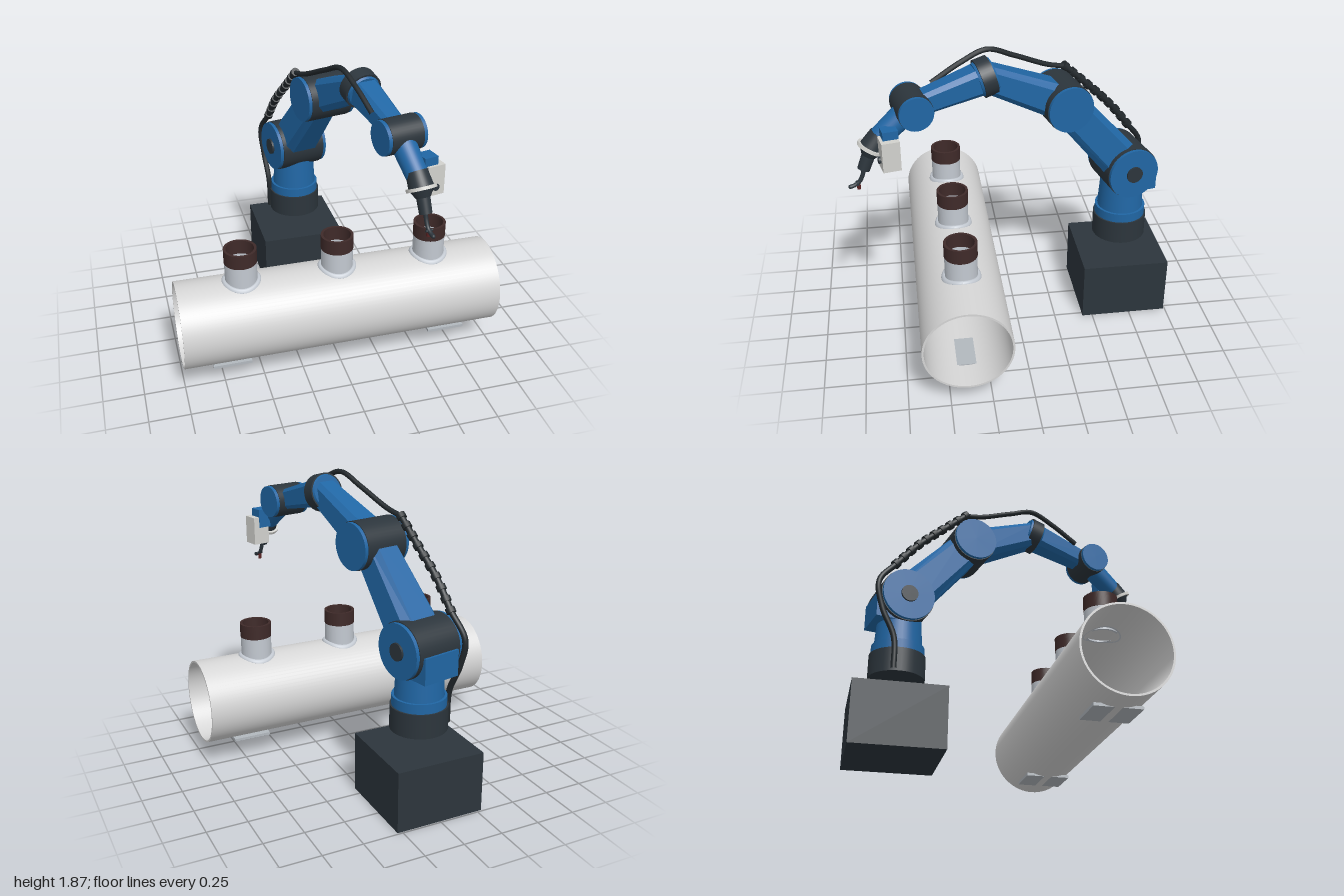
import * as THREE from 'three';

const mat = (name, color, side = THREE.FrontSide) => {
  const m = new THREE.MeshStandardMaterial({ color, side });
  m.name = name;
  return m;
};

export function createModel() {
  const blue = mat('arm blue', 0x2066a4);
  const dark = mat('dark graphite', 0x2c353c);
  const rubber = mat('hose rubber', 0x22282c);
  const pipeGrey = mat('pipe grey', 0xd6d6d6);
  const steel = mat('nozzle steel', 0xc3c9d1);
  const rust = mat('nozzle rim brown', 0x3f2a29);
  const padGrey = mat('pad grey', 0xb2b8be);
  const offWhite = mat('sensor white', 0xd2d2ce);
  const tipRed = mat('tip red', 0x5a2222);

  const model = new THREE.Group();
  const add = (parent, name, geo, material, x = 0, y = 0, z = 0) => {
    const m = new THREE.Mesh(geo, material);
    m.name = name;
    m.position.set(x, y, z);
    parent.add(m);
    return m;
  };
  const v = (x, y, z) => new THREE.Vector3(x, y, z);
  const cyl = (r0, r1, h, n = 40) => new THREE.CylinderGeometry(r1, r0, h, n);
  // Hollow tube around y with sharp edges
  const ring = (ro, ri, y0, y1, n = 48) => {
    const p = [[ri, y0], [ro, y0], [ro, y0], [ro, y1], [ro, y1], [ri, y1], [ri, y1], [ri, y0]];
    const shape = new THREE.Shape().absarc(0, 0, ro, 0, Math.PI * 2);
    shape.holes.push(new THREE.Path().absarc(0, 0, ri, 0, Math.PI * 2, true));
    return new THREE.ExtrudeGeometry(shape, { depth: p[3][1] - y0, bevelEnabled: false, curveSegments: n })
      .rotateX(-Math.PI / 2).translate(0, y0, 0);
  };
  const tube = (pts, r, n = 40) => new THREE.TubeGeometry(
    new THREE.CatmullRomCurve3(pts.map(p => v(...p))), n, r, 10);

  // Pedestal
  add(model, 'pedestal', new THREE.BoxGeometry(0.56, 0.38, 0.555), dark, 0, 0.19, -0.712);

  // Header pipe along x
  const PY = 0.395, PZ = 0.39, PR = 0.268;
  const profile = [[PR - 0.012, -1], [PR, -1], [PR, 1], [PR - 0.012, 1]];
  profile.push(profile[0]);
  for (let i = 0; i < 4; i++) {
    const pair = [profile[i], profile[i + 1]].map(p => new THREE.Vector2(...p));
    add(model, 'pipeSurface', new THREE.LatheGeometry(pair, 72).rotateZ(-Math.PI / 2), pipeGrey, 0, PY, PZ);
  }

  // Branch nozzles with saddle welds
  for (const x of [-0.6, 0, 0.6]) {
    const nozzle = new THREE.Group();
    nozzle.name = 'nozzle';
    nozzle.position.set(x, 0, PZ);
    model.add(nozzle);
    add(nozzle, 'nozzleNeck', ring(0.098, 0.084, 0.64, 0.79), steel);
    add(nozzle, 'nozzleRim', ring(0.1, 0.084, 0.79, 0.88), rust);
    const weld = new THREE.TorusGeometry(0.106, 0.014, 10, 48).rotateX(Math.PI / 2);
    const p = weld.attributes.position;
    for (let i = 0; i < p.count; i++) {
      p.setY(i, p.getY(i) + PY + Math.sqrt(PR * PR - p.getZ(i) ** 2));
    }
    weld.computeVertexNormals();
    add(nozzle, 'saddleWeld', weld, steel);
  }

  // Support pads under the pipe
  for (const x of [-0.7, 0.7]) {
    add(model, 'supportPad', new THREE.BoxGeometry(0.24, 0.018, 0.285), padGrey, x, 0.137, PZ);
  }

  // Arm frame: reaches along local +z
  const arm = new THREE.Group();
  arm.name = 'robotArm';
  arm.position.z = -0.715;
  arm.rotation.y = THREE.MathUtils.degToRad(12);
  model.add(arm);

  // Places a geometry built along z in the arm plane, from a to b given as [z, y]
  const aim = (mesh, a, b) => {
    mesh.position.set(0, a[1], a[0]);
    mesh.rotation.x = Math.atan2(a[1] - b[1], b[0] - a[0]);
    return mesh;
  };
  const span = (a, b) => Math.hypot(b[0] - a[0], b[1] - a[1]);
  const rod = (name, a, b, r0, r1, material) => {
    const L = span(a, b);
    return aim(add(arm, name, cyl(r0, r1, L).rotateX(Math.PI / 2).translate(0, 0, L / 2), material), a, b);
  };
  // Tapered link with chamfered rectangular section
  const link = (name, a, b, [w0, t0], [w1, t1]) => {
    const k = 0.33;
    const outline = [[-k, -0.5], [k, -0.5], [0.5, -k], [0.5, k], [k, 0.5], [-k, 0.5], [-0.5, k], [-0.5, -k]];
    const geo = new THREE.ExtrudeGeometry(new THREE.Shape(outline.map(p => new THREE.Vector2(...p))),
      { depth: 1, bevelEnabled: false });
    const p = geo.attributes.position;
    const L = span(a, b);
    for (let i = 0; i < p.count; i++) {
      const t = p.getZ(i);
      p.setXYZ(i, p.getX(i) * (w0 + (w1 - w0) * t), p.getY(i) * (t0 + (t1 - t0) * t), t * L);
    }
    geo.computeVertexNormals();
    return aim(add(arm, name, geo, blue), a, b);
  };
  // Joint drum across the arm with blue end caps
  const joint = (name, [z, y], r, half, plug) => {
    const g = new THREE.Group();
    g.name = name;
    g.position.set(0, y, z);
    arm.add(g);
    add(g, 'drum', cyl(r, r, 2 * half - 0.05).rotateZ(Math.PI / 2), dark);
    for (const s of [-1, 1]) {
      add(g, 'endCap', cyl(r * 0.97, r * 0.97, 0.03).rotateZ(Math.PI / 2), blue, s * (half - 0.018));
      if (plug) add(g, 'capPlug', cyl(plug, plug, 0.02).rotateZ(Math.PI / 2), dark, s * half);
    }
  };

  const shoulder = [0, 1.0], elbow = [0.44, 1.51], roll = [0.922, 1.733], wrist = [1.365, 1.615];

  // Base and turning column
  add(arm, 'baseRing', cyl(0.173, 0.173, 0.15), dark, 0, 0.565);
  add(arm, 'turntable', cyl(0.163, 0.163, 0.06), blue, 0, 0.67);
  add(arm, 'column', cyl(0.148, 0.132, 0.27), blue, 0, 0.83);
  add(arm, 'shoulderMotor', new THREE.BoxGeometry(0.25, 0.16, 0.14), blue, 0, 0.92, -0.115);

  // Joints and links
  joint('shoulderJoint', shoulder, 0.17, 0.175, 0.053);
  joint('elbowJoint', elbow, 0.146, 0.165);
  joint('wristJoint', wrist, 0.104, 0.127);
  link('upperArm', shoulder, elbow, [0.27, 0.26], [0.19, 0.22]);
  link('forearmRear', elbow, roll, [0.21, 0.22], [0.15, 0.16]);
  link('forearmFront', roll, wrist, [0.17, 0.17], [0.12, 0.12]);

  // Forearm roll collar
  const along = t => [roll[0] + (wrist[0] - roll[0]) * t, roll[1] + (wrist[1] - roll[1]) * t];
  rod('collarBack', along(-0.11), along(-0.08), 0.1, 0.108, blue);
  rod('rollCollar', along(-0.085), along(0.09), 0.116, 0.116, dark);
  rod('collarFront', along(0.09), along(0.12), 0.104, 0.098, blue);

  // Wrist, tool flange and torch body
  rod('wristBarrel', wrist, [1.575, 1.44], 0.075, 0.064, blue);
  rod('wristNose', [1.555, 1.47], [1.61, 1.395], 0.062, 0.072, dark);
  rod('toolFlange', [1.606, 1.402], [1.615, 1.386], 0.087, 0.087, offWhite);
  rod('torchCone', [1.612, 1.392], [1.632, 1.348], 0.07, 0.043, dark);
  rod('torchBody', [1.62, 1.38], [1.667, 1.265], 0.04, 0.037, dark);
  add(arm, 'torchNeck', tube([[0, 1.275, 1.663], [0, 1.225, 1.677], [0, 1.185, 1.7],
    [0, 1.168, 1.73], [0, 1.163, 1.752]], 0.0125, 24), dark);
  add(arm, 'torchNeckEnd', new THREE.SphereGeometry(0.0125, 12, 8), dark, 0, 1.163, 1.752);
  add(arm, 'torchCrossPin', cyl(0.007, 0.007, 0.045, 10).rotateZ(Math.PI / 2), dark, 0, 1.178, 1.71);
  add(arm, 'torchTip', cyl(0.011, 0.011, 0.035, 12), tipRed, 0, 1.158, 1.703);

  // Seam sensor on its bracket
  add(arm, 'sensorBracket', new THREE.BoxGeometry(0.085, 0.12, 0.09), blue, 0.088, 1.48, 1.523);
  add(arm, 'sensorBox', new THREE.BoxGeometry(0.11, 0.18, 0.105), offWhite, 0.114, 1.4, 1.532);
  add(arm, 'sensorLens', cyl(0.021, 0.021, 0.02, 20).rotateX(Math.PI / 2), dark, 0.108, 1.365, 1.588);

  // Cable hoses along the model's right side
  add(model, 'lowerHose', tube([[-0.172, 0.5, -0.75], [-0.175, 0.7, -0.76], [-0.19, 0.88, -0.84],
    [-0.2, 1.05, -0.87], [-0.16, 1.2, -0.77]], 0.018), rubber);
  const run = new THREE.CatmullRomCurve3([v(-0.16, 1.2, -0.77), v(-0.14, 1.36, -0.64),
    v(-0.1, 1.53, -0.47), v(-0.075, 1.66, -0.33)]);
  add(model, 'corrugatedHose', new THREE.TubeGeometry(run, 32, 0.02, 10), rubber);
  for (let i = 0; i <= 9; i++) {
    const c = run.getPointAt(i / 9);
    const rib = add(model, 'hoseRib', cyl(0.029, 0.029, 0.032, 14), rubber, c.x, c.y, c.z);
    rib.quaternion.setFromUnitVectors(v(0, 1, 0), run.getTangentAt(i / 9));
  }
  add(model, 'upperHose', tube([[-0.075, 1.66, -0.33], [-0.04, 1.69, -0.22], [0.03, 1.79, 0],
    [0.08, 1.855, 0.165], [0.12, 1.8, 0.32], [0.165, 1.7, 0.5]], 0.016), rubber);

  return model;
}
